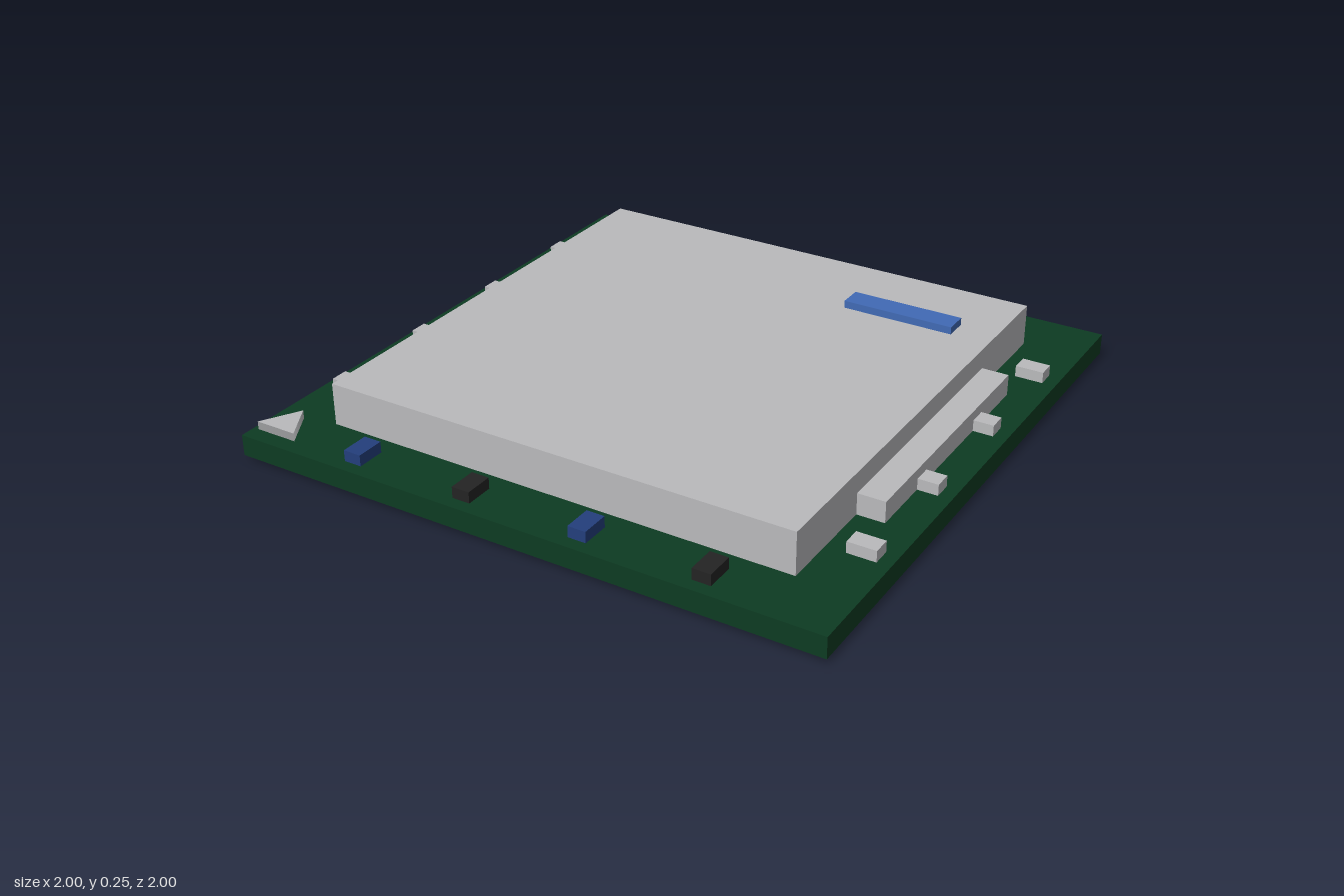
import * as THREE from 'three';

const mat = (name, color) => {
  const m = new THREE.MeshStandardMaterial({ color });
  m.name = name;
  return m;
};

export function createModel() {
  const green = mat('boardGreen', 0x0d3b22);
  const silver = mat('silver', 0xb9babc);
  const blue = mat('labelBlue', 0x416ab5);
  const navy = mat('navy', 0x233f7c);
  const black = mat('black', 0x232323);

  const model = new THREE.Group();
  model.name = 'processorChip';

  // Box resting on height y0
  const box = (name, material, w, h, d, x, y0, z) => {
    const mesh = new THREE.Mesh(new THREE.BoxGeometry(w, h, d), material);
    mesh.name = name;
    mesh.position.set(x, y0 + h / 2, z);
    model.add(mesh);
  };

  const boardTop = 0.087;

  // Stacked main layers
  box('contactPlate', silver, 1.86, 0.018, 1.86, 0, 0, 0);
  box('circuitBoard', green, 2, 0.07, 2, 0, 0.017, 0);
  box('heatSpreader', silver, 1.6, 0.14, 1.6, 0, boardTop, 0);
  box('label', blue, 0.38, 0.025, 0.08, 0.48, 0.227, -0.517);

  for (const side of [-1, 1]) {
    // Low shoulder beside the heat spreader
    box('spreaderTab', silver, 0.09, 0.07, 0.88, side * 0.845, boardTop, 0);

    [-0.6, -0.2, 0.2, 0.6].forEach((p, i) => {
      // Components along the front and back edges
      box('edgeCapacitor', i % 2 ? black : navy, 0.06, 0.037, 0.095, p, boardTop, side * 0.91);
      // Components along the left and right edges
      box('sideContact', silver, 0.093, 0.037, 0.06, side * 0.91, boardTop, p);
    });
  }

  // Triangular alignment mark in the front corner
  const marker = new THREE.Mesh(new THREE.CylinderGeometry(0.083, 0.083, 0.027, 3), silver);
  marker.name = 'alignmentMarker';
  marker.rotation.y = Math.PI;
  marker.position.set(-0.91, boardTop + 0.0135, 0.905);
  model.add(marker);

  return model;
}
